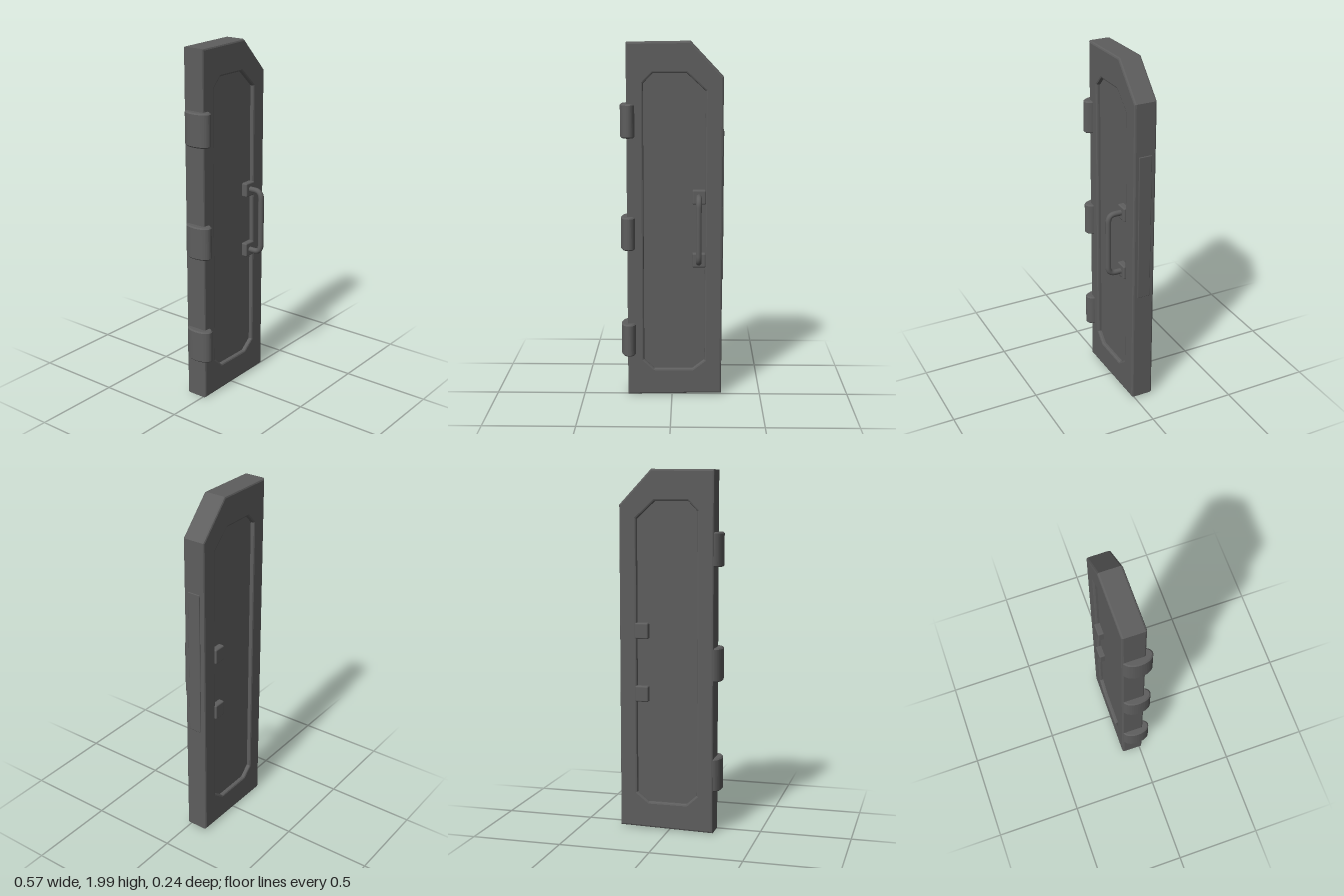
import * as THREE from 'three';
import { RoundedBoxGeometry } from 'three/addons/geometries/RoundedBoxGeometry.js';

const steel = new THREE.MeshStandardMaterial({ color: 0x5e5e5e });
steel.name = 'dark steel';

const FRONT = 0.018, BACK = -0.11, MID = (FRONT + BACK) / 2;

function add(parent, name, geometry, x = 0, y = 0, z = 0) {
  const mesh = new THREE.Mesh(geometry, steel);
  mesh.name = name;
  mesh.position.set(x, y, z);
  parent.add(mesh);
  return mesh;
}

const points = (list) => list.map(([x, y]) => new THREE.Vector2(x, y));

// Bevelled slab whose outer size stays equal to its outline
function slab(shape, depth, bevel, segments = 1) {
  const geometry = new THREE.ExtrudeGeometry(shape, {
    depth: depth - 2 * bevel, bevelEnabled: true, bevelThickness: bevel,
    bevelSize: bevel, bevelOffset: -bevel, bevelSegments: segments, curveSegments: 10,
  });
  return geometry.translate(0, 0, bevel);
}

export function createModel() {
  const door = new THREE.Group();
  door.name = 'door';

  // Frame with one clipped top corner and an eight-sided opening
  const outline = new THREE.Shape(points([
    [-0.25, 0.008], [0.28, 0.018], [0.28, 1.81], [0.1, 2], [-0.25, 1.995],
  ]));
  const opening = points([
    [-0.158, 0.215], [-0.1, 0.162], [0.115, 0.162], [0.183, 0.215],
    [0.183, 1.735], [0.08, 1.83], [-0.105, 1.83], [-0.158, 1.775],
  ]);
  outline.holes.push(new THREE.Path(opening.slice().reverse()));
  add(door, 'frame', slab(outline, FRONT - BACK, 0.01, 2), 0, 0, BACK);

  // Recessed panel, slightly wider than the opening
  add(door, 'panel', new THREE.BoxGeometry(0.37, 1.7, 0.085), 0.013, 0.997, MID);

  // Raised strip on the closing edge
  add(door, 'edgeStrip', new RoundedBoxGeometry(0.03, 0.84, 0.075, 1, 0.004), 0.27, 1.1, MID);

  // Hinges wrapped around the other edge
  const hinge = new THREE.Shape();
  hinge.moveTo(-0.235, -0.108);
  hinge.bezierCurveTo(-0.268, -0.105, -0.285, -0.07, -0.286, -0.03);
  hinge.bezierCurveTo(-0.287, 0.02, -0.268, 0.055, -0.24, 0.055);
  hinge.bezierCurveTo(-0.222, 0.055, -0.206, 0.035, -0.204, 0.012);
  hinge.lineTo(-0.235, 0.0);
  for (const y of [0.335, 0.947, 1.572]) {
    const mesh = add(door, 'hinge', slab(hinge, 0.186, 0.007), 0, y + 0.093, 0);
    mesh.rotation.x = Math.PI / 2;
  }

  // Handle bar bent at both ends
  const handle = new THREE.Group();
  handle.name = 'handle';
  door.add(handle);
  const v = (y, z) => new THREE.Vector3(0.148, y, z);
  const path = new THREE.CurvePath();
  path.add(new THREE.LineCurve3(v(0.795, -0.02), v(0.795, 0.062)));
  path.add(new THREE.QuadraticBezierCurve3(v(0.795, 0.062), v(0.795, 0.103), v(0.84, 0.103)));
  path.add(new THREE.LineCurve3(v(0.84, 0.103), v(1.11, 0.103)));
  path.add(new THREE.QuadraticBezierCurve3(v(1.11, 0.103), v(1.155, 0.103), v(1.155, 0.062)));
  path.add(new THREE.LineCurve3(v(1.155, 0.062), v(1.155, -0.02)));
  add(handle, 'grip', new THREE.TubeGeometry(path, 60, 0.016, 10));

  // Mounting plates in front, bolt blocks behind
  for (const y of [0.797, 1.153]) {
    add(handle, 'mountingPlate', new RoundedBoxGeometry(0.075, 0.08, 0.045, 2, 0.008), 0.15, y, 0.006);
  }
  for (const y of [0.775, 1.125]) {
    add(handle, 'boltBlock', new RoundedBoxGeometry(0.075, 0.088, 0.045, 2, 0.008), 0.153, y, -0.098);
  }
  return door;
}
